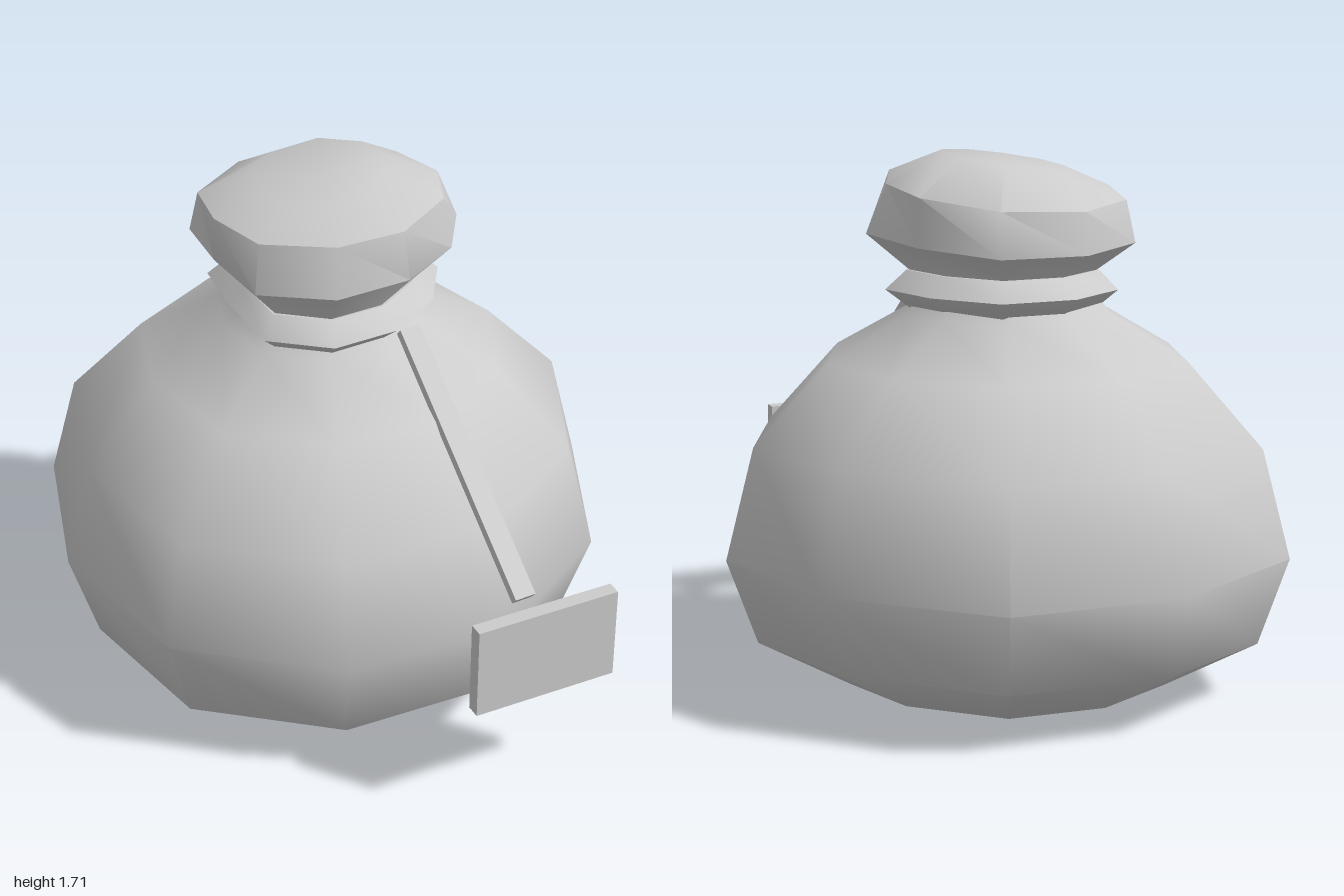
import * as THREE from 'three';
import { toCreasedNormals } from 'three/addons/utils/BufferGeometryUtils.js';

// Uneven ten-sided outlines, as [x, z]
const BODY = [[-1, 0], [-0.8, -0.53], [-0.36, -0.89], [0.24, -0.85], [0.67, -0.56],
  [0.83, -0.01], [0.67, 0.5], [0.24, 0.84], [-0.32, 0.86], [-0.77, 0.51]];
const MOUTH = [[-0.49, 0], [-0.41, -0.26], [-0.19, -0.44], [0.09, -0.39], [0.31, -0.25],
  [0.345, -0.01], [0.27, 0.23], [0.09, 0.4], [-0.16, 0.41], [-0.35, 0.2]];
const MOUTH_TOP = [[-0.46, 0], [-0.4, -0.25], [-0.18, -0.41], [0.09, -0.37], [0.25, -0.23],
  [0.315, -0.02], [0.25, 0.23], [0.08, 0.36], [-0.16, 0.36], [-0.35, 0.19]];

// Scales an outline about its centre and lays it on a tilted plane
function ring(outline, scale, y, tiltX = 0, tiltZ = 0) {
  const cx = -0.075;
  return outline.map(([px, pz]) => {
    const x = cx + (px - cx) * scale, z = pz * scale;
    return new THREE.Vector3(x, y + tiltX * x + tiltZ * z, z);
  });
}

// Joins rings from bottom to top and closes both ends
function loft(rings, crease) {
  const pos = [];
  const tri = (...pts) => pts.forEach((p) => pos.push(p.x, p.y, p.z));
  const middle = (r) => r.reduce((s, p) => s.add(p), new THREE.Vector3()).divideScalar(r.length);
  const n = rings[0].length, last = rings[rings.length - 1];
  const bottom = middle(rings[0]), top = middle(last);
  for (let i = 0; i < n; i++) {
    const j = (i + 1) % n;
    for (let k = 0; k < rings.length - 1; k++) {
      const lo = rings[k], up = rings[k + 1];
      tri(lo[i], up[i], up[j]);
      tri(lo[i], up[j], lo[j]);
    }
    tri(bottom, rings[0][i], rings[0][j]);
    tri(top, last[j], last[i]);
  }
  const g = new THREE.BufferGeometry();
  g.setAttribute('position', new THREE.Float32BufferAttribute(pos, 3));
  return toCreasedNormals(g, crease);
}

export function createModel() {
  const group = new THREE.Group();
  const cloth = new THREE.MeshStandardMaterial({ color: 0xcccccc });
  cloth.name = 'plainGrey';
  const add = (name, geometry) => {
    const mesh = new THREE.Mesh(geometry, cloth);
    mesh.name = name;
    group.add(mesh);
    return mesh;
  };

  // Bulging sack, narrowing to the neck
  add('sackBody', loft([
    ring(BODY, 0.57, 0.015, 0, -0.02),
    ring(BODY, 0.895, 0.18, 0, -0.02),
    ring(BODY, 1, 0.465),
    ring(BODY, 0.9, 0.81, 0, -0.02),
    ring(BODY, 0.64, 1.07),
    ring(BODY, 0.36, 1.215),
    ring(BODY, 0.3, 1.3),
  ], 0.85));

  // Cord tied around the neck
  add('neckCord', loft([
    ring(MOUTH, 0.7, 1.23),
    ring(MOUTH, 0.87, 1.29),
    ring(MOUTH, 0.72, 1.35),
  ], 0.75));

  // Gathered cloth above the cord
  add('sackMouth', loft([
    ring(MOUTH, 0.66, 1.31),
    ring(MOUTH, 0.7, 1.35),
    ring(MOUTH, 1, 1.465, 0.05, 0.05),
    ring(MOUTH_TOP, 1, 1.615, 0.09, 0.06),
    ring(MOUTH_TOP, 0.55, 1.695, 0.12, -0.06),
  ], 0.85));

  // Straight string from the cord down to the tag
  const start = new THREE.Vector3(0.25, 1.27, 0.15);
  const end = new THREE.Vector3(0.725, 0.69, 0.645);
  const string = add('tagString', new THREE.BoxGeometry(0.07, 0.03, start.distanceTo(end)));
  string.position.copy(start).add(end).multiplyScalar(0.5);
  string.lookAt(end);

  // Square-cut hanging tag
  const tag = add('tag', new THREE.BoxGeometry(0.47, 0.305, 0.046));
  tag.position.set(0.803, 0.567, 0.717);
  tag.rotation.y = 0.703;

  return group;
}
